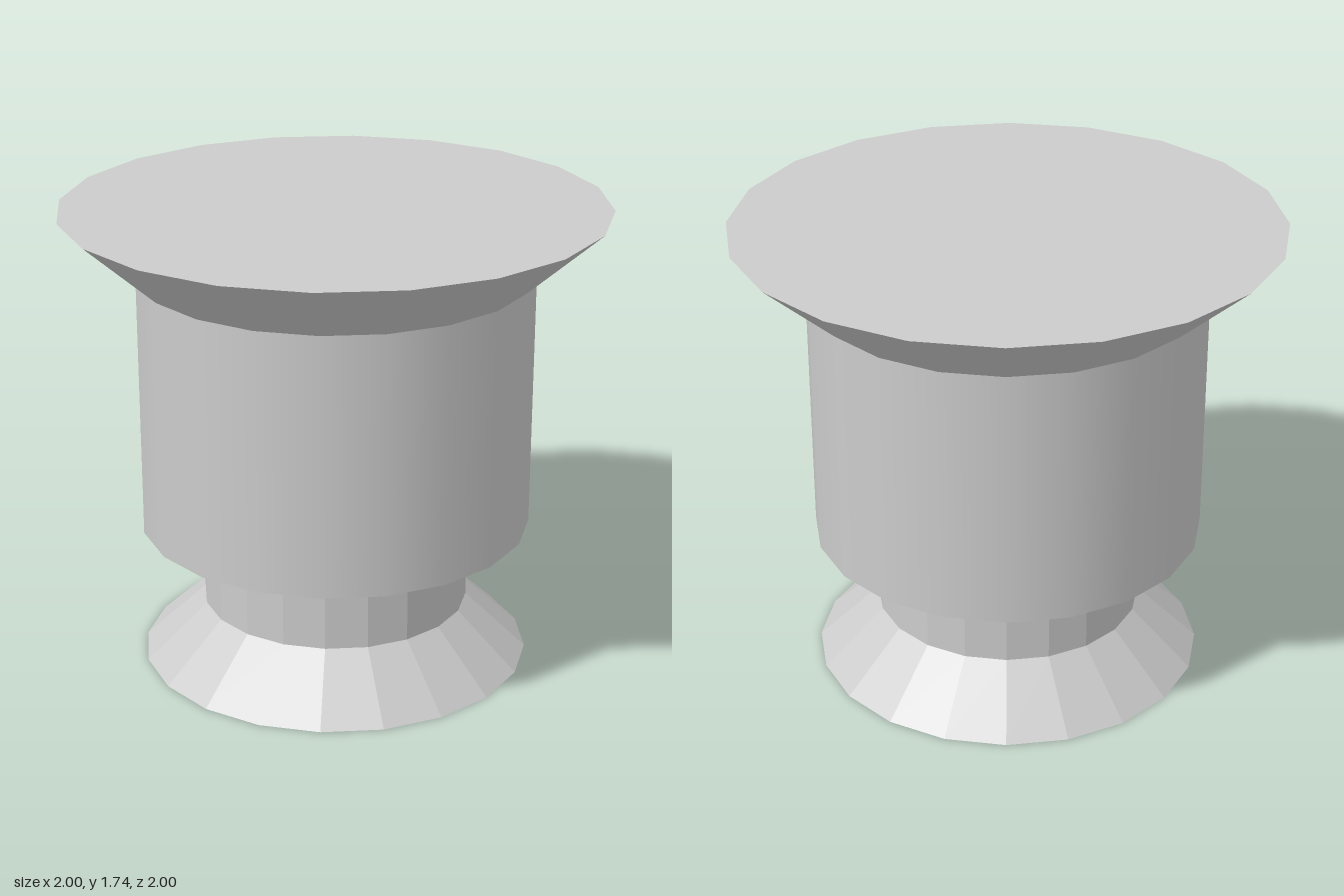
import * as THREE from 'three';

const SIDES = 20;

export function createModel() {
  const group = new THREE.Group();
  const faceted = new THREE.MeshStandardMaterial({ color: 0xcccccc, flatShading: true });
  const smooth = new THREE.MeshStandardMaterial({ color: 0xcccccc });

  // One open ring of wall between two heights
  const addRing = (name, y0, r0, y1, r1, material = faceted) => {
    const wall = new THREE.CylinderGeometry(r1, r0, y1 - y0, SIDES, 1, true);
    const mesh = new THREE.Mesh(wall, material);
    mesh.name = name;
    mesh.position.y = (y0 + y1) / 2;
    group.add(mesh);
  };

  // Flat disc closing an end; its corners line up with the walls
  const addCap = (name, y, r, up) => {
    const disc = new THREE.CircleGeometry(r, SIDES);
    disc.rotateX(up ? -Math.PI / 2 : Math.PI / 2);
    const mesh = new THREE.Mesh(disc, faceted);
    mesh.name = name;
    mesh.position.y = y;
    group.add(mesh);
  };

  addCap('baseUnderside', 0, 0.73, false);
  addRing('flaredBase', 0, 0.73, 0.215, 0.5);
  addRing('neck', 0.215, 0.5, 0.43, 0.5);
  addRing('shoulder', 0.43, 0.5, 0.53, 0.73);
  addRing('drum', 0.53, 0.73, 1.5, 0.73, smooth);
  addRing('flaredRim', 1.5, 0.73, 1.74, 1);
  addCap('topFace', 1.74, 1, true);

  return group;
}
